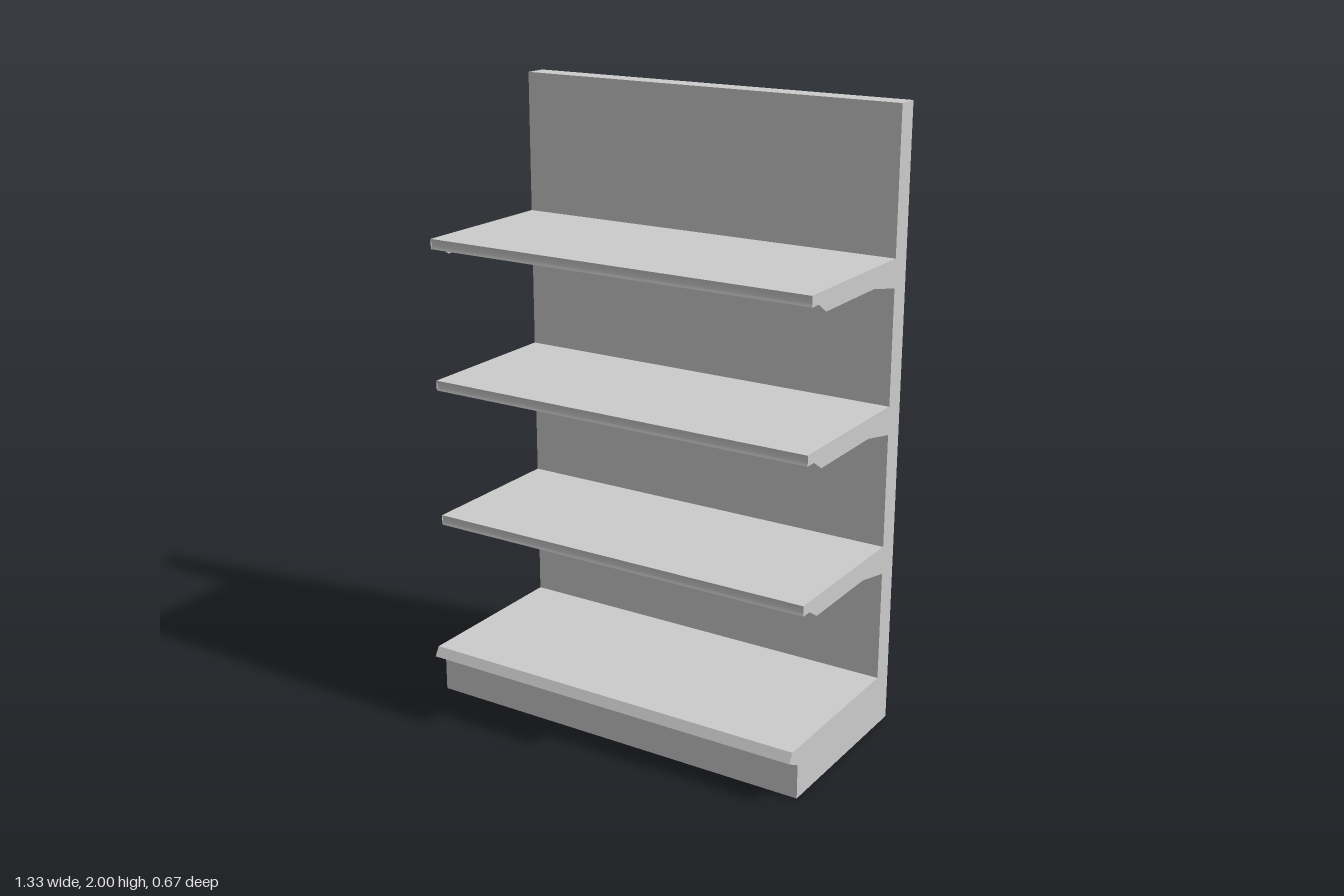
import * as THREE from 'three';

const HALF = 0.667;   // half width of the unit
const BACK = -0.258;  // front face of the back panel

// Shape from [z, y] points; its local x axis becomes world z.
function profile(points) {
  return new THREE.Shape(points.map(([z, y]) => new THREE.Vector2(z, y)));
}

// Extrude a side profile along x, from -half to +half.
function acrossWidth(points, half) {
  const geometry = new THREE.ExtrudeGeometry(profile(points), { depth: 2 * half, bevelEnabled: false });
  geometry.rotateY(-Math.PI / 2);
  geometry.translate(half, 0, 0);
  return geometry;
}

function part(name, geometry, material) {
  const mesh = new THREE.Mesh(geometry, material);
  mesh.name = name;
  return mesh;
}

export function createModel() {
  const model = new THREE.Group();
  model.name = 'shelvingUnit';

  const bodyMaterial = new THREE.MeshStandardMaterial({ color: 0xffffff });
  const shelfMaterial = new THREE.MeshStandardMaterial({ color: 0xcccccc, side: THREE.DoubleSide });

  // Back panel and plinth as one L-shaped body with a pointed front lip
  model.add(part('backPanelAndBase', acrossWidth([
    [-0.333, 0], [0.28, 0], [0.28, 0.112], [0.333, 0.14],
    [0.315, 0.17], [BACK, 0.17], [BACK, 2], [-0.333, 2],
  ], HALF), bodyMaterial));

  // Shelf board with a shallow hollow along its front edge
  const front = 0.27, thickness = 0.033;
  const board = [[BACK, 0], [BACK, -thickness], [front, -thickness]];
  for (let i = 1; i < 8; i++) {
    const t = i / 8;
    board.push([front - 0.003 * Math.sin(Math.PI * t), -thickness * (1 - t)]);
  }
  board.push([front, 0]);
  const boardGeometry = acrossWidth(board, HALF - 0.001);

  // Thin end bracket that deepens towards the back panel
  const bracketGeometry = new THREE.ShapeGeometry(profile([
    [BACK, 0], [BACK, -0.091], [-0.12, -0.063], [0.185, -0.063],
    [0.232, -thickness], [front, -thickness], [front, 0],
  ]));
  bracketGeometry.rotateY(-Math.PI / 2);

  for (const y of [0.623, 1.083, 1.543]) {
    const shelf = new THREE.Group();
    shelf.name = 'shelf';
    shelf.position.y = y;
    shelf.add(part('shelfBoard', boardGeometry, shelfMaterial));
    for (const side of [-1, 1]) {
      const bracket = part(side > 0 ? 'leftBracket' : 'rightBracket', bracketGeometry, shelfMaterial);
      bracket.position.x = side * HALF;
      shelf.add(bracket);
    }
    model.add(shelf);
  }
  return model;
}
